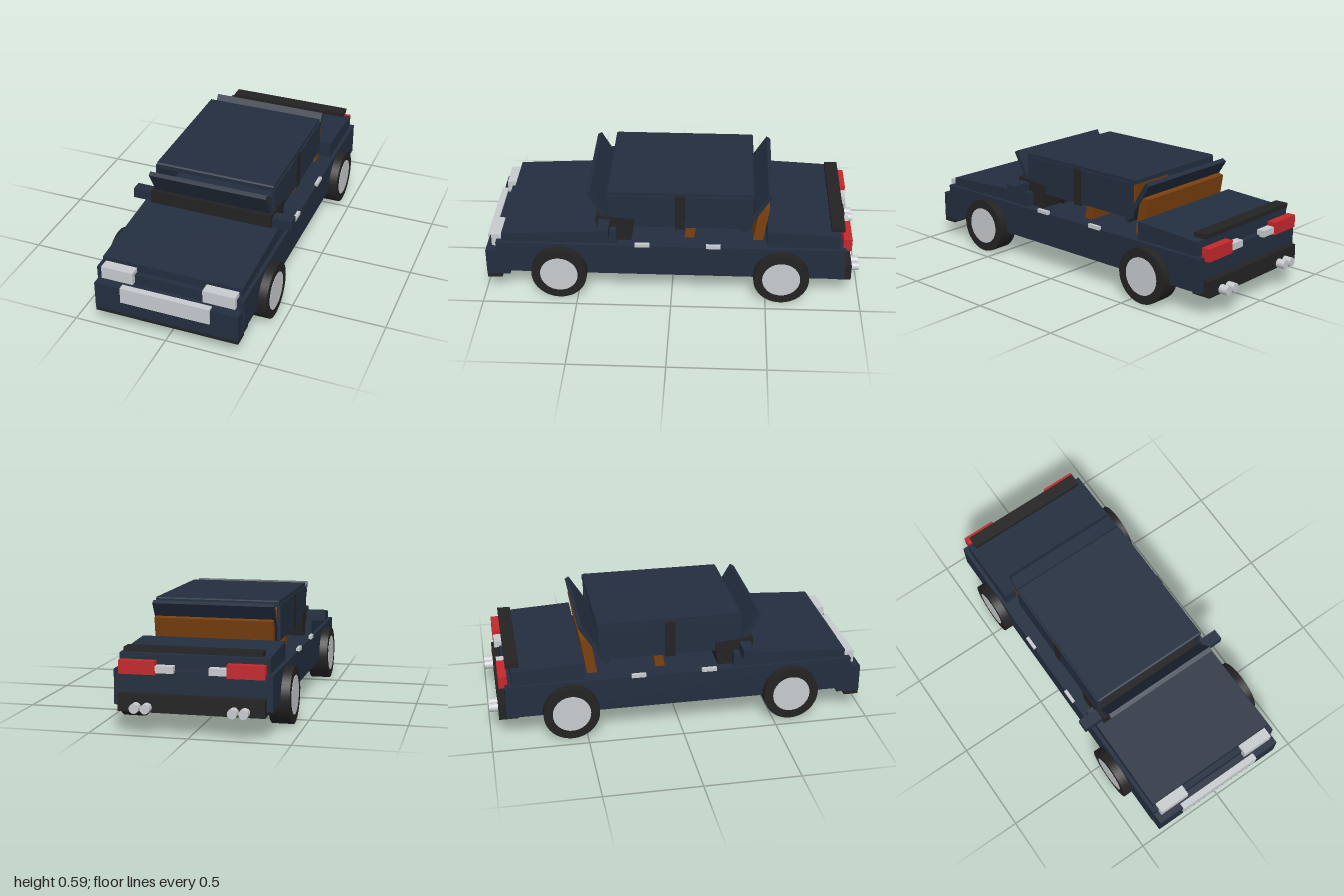
import * as THREE from 'three';

const mat = (name, color) => Object.assign(new THREE.MeshStandardMaterial({ color }), { name });

export function createModel() {
  const car = new THREE.Group();
  car.name = 'car';
  const navy = mat('navy paint', 0x232e3f);
  const black = mat('black trim', 0x232323);
  const silver = mat('silver', 0xc8cbce);
  const red = mat('tail light red', 0xc4282c);
  const brown = mat('brown leather', 0x7a400e);

  const add = (name, geometry, material) => {
    const mesh = new THREE.Mesh(geometry, material);
    mesh.name = name;
    car.add(mesh);
    return mesh;
  };
  // Box given by its limits on each axis
  const box = (name, material, [x0, x1], [y0, y1], [z0, z1]) => {
    const mesh = add(name, new THREE.BoxGeometry(x1 - x0, y1 - y0, z1 - z0), material);
    mesh.position.set((x0 + x1) / 2, (y0 + y1) / 2, (z0 + z1) / 2);
    return mesh;
  };
  // Box spanning the car's width
  const wide = (name, material, half, y, z) => box(name, material, [-half, half], y, z);
  // The same box on both sides
  const pair = (name, material, [a, b], y, z) => {
    box(name + 'Left', material, [a, b], y, z);
    box(name + 'Right', material, [-b, -a], y, z);
  };
  // Side profile (z, y) extruded across the width
  const prism = (name, material, half, points) => {
    const shape = new THREE.Shape(points.map(([z, y]) => new THREE.Vector2(z, y)));
    const g = new THREE.ExtrudeGeometry(shape, { depth: half * 2, bevelEnabled: false });
    g.translate(0, 0, -half).rotateY(-Math.PI / 2);
    return add(name, g, material);
  };
  // Slab leaning forwards (positive) or backwards
  const slab = (name, material, [w, h, d], [x, y, z], degrees) => {
    const mesh = add(name, new THREE.BoxGeometry(w, h, d), material);
    mesh.position.set(x, y, z);
    mesh.rotation.x = THREE.MathUtils.degToRad(degrees);
    return mesh;
  };

  // Body, hood and trunk
  wide('body', navy, 0.395, [0.13, 0.308], [-0.915, 0.93]);
  prism('hood', navy, 0.375, [[0.9, 0.3], [0.9, 0.353], [0.29, 0.387], [0.29, 0.3]]);
  prism('trunk', navy, 0.375, [[-0.5, 0.3], [-0.5, 0.402], [-0.88, 0.383], [-0.88, 0.3]]);
  wide('spoiler', black, 0.345, [0.394, 0.417], [-0.905, -0.835]);

  // Front end
  wide('frontBumper', navy, 0.385, [0.1, 0.25], [0.92, 0.99]);
  wide('frontLip', black, 0.385, [0.08, 0.102], [0.91, 0.988]);
  wide('frontUnderPanel', navy, 0.39, [0.105, 0.14], [0.865, 0.935]);
  wide('grille', silver, 0.24, [0.172, 0.26], [0.965, 1]);
  pair('headlight', silver, [0.187, 0.358], [0.265, 0.333], [0.895, 0.957]);

  // Rear end
  wide('rearBumper', black, 0.365, [0.107, 0.195], [-0.953, -0.85]);
  pair('tailLight', red, [0.178, 0.362], [0.29, 0.357], [-0.945, -0.9]);
  pair('reverseLight', silver, [0.088, 0.178], [0.3, 0.335], [-0.942, -0.9]);
  for (const x of [-0.27, -0.215, 0.215, 0.27]) {
    const pipe = add('exhaustPipe', new THREE.CylinderGeometry(0.024, 0.024, 0.08, 16), silver);
    pipe.rotation.x = Math.PI / 2;
    pipe.position.set(x, 0.132, -0.96);
  }

  // Cabin: roof, hollow sides, pillars and leaning glass
  prism('roof', navy, 0.326, [[-0.425, 0.565], [-0.425, 0.588], [-0.418, 0.594],
    [0.332, 0.594], [0.34, 0.588], [0.34, 0.565]]);
  pair('sideWindow', navy, [0.315, 0.333], [0.39, 0.576], [-0.42, 0.335]);
  pair('centrePillar', black, [0.313, 0.336], [0.38, 0.577], [-0.067, -0.015]);
  slab('windscreen', navy, [0.645, 0.25, 0.025], [0, 0.477, 0.374], 30);
  slab('rearWindow', navy, [0.635, 0.26, 0.025], [0, 0.472, -0.442], -32);

  // Interior
  prism('dashboard', black, 0.338, [[0.4, 0.38], [0.4, 0.454], [0.2, 0.437], [0.2, 0.4],
    [0.215, 0.3], [0.3, 0.3], [0.3, 0.38]]);
  const wheelRing = add('steeringWheel', new THREE.TorusGeometry(0.05, 0.009, 8, 24), black);
  wheelRing.position.set(0.17, 0.35, 0.188);
  wheelRing.rotation.x = -0.3;
  wide('gearLever', silver, 0.01, [0.3, 0.343], [0.073, 0.092]);
  for (const x of [-0.17, 0.17]) slab('frontSeat', brown, [0.26, 0.22, 0.05], [x, 0.4, -0.105], -9);
  slab('rearSeat', brown, [0.62, 0.21, 0.052], [0, 0.4, -0.468], -9);

  // Mirrors and door handles
  pair('mirror', navy, [0.335, 0.445], [0.38, 0.434], [0.325, 0.385]);
  pair('frontHandle', silver, [0.386, 0.403], [0.305, 0.325], [0.115, 0.193]);
  pair('rearHandle', silver, [0.386, 0.403], [0.305, 0.325], [-0.258, -0.182]);

  // Wheels
  for (const side of [-1, 1]) {
    for (const z of [0.595, -0.58]) {
      const wheel = new THREE.Group();
      wheel.name = 'wheel';
      const tire = new THREE.Mesh(new THREE.CylinderGeometry(0.147, 0.147, 0.107, 40), black);
      tire.name = 'tire';
      const hub = new THREE.Mesh(new THREE.CylinderGeometry(0.1, 0.1, 0.111, 32), silver);
      hub.name = 'hub';
      wheel.add(tire, hub);
      wheel.rotation.z = Math.PI / 2;
      wheel.position.set(side * 0.387, 0.147, z);
      car.add(wheel);
    }
  }
  return car;
}
